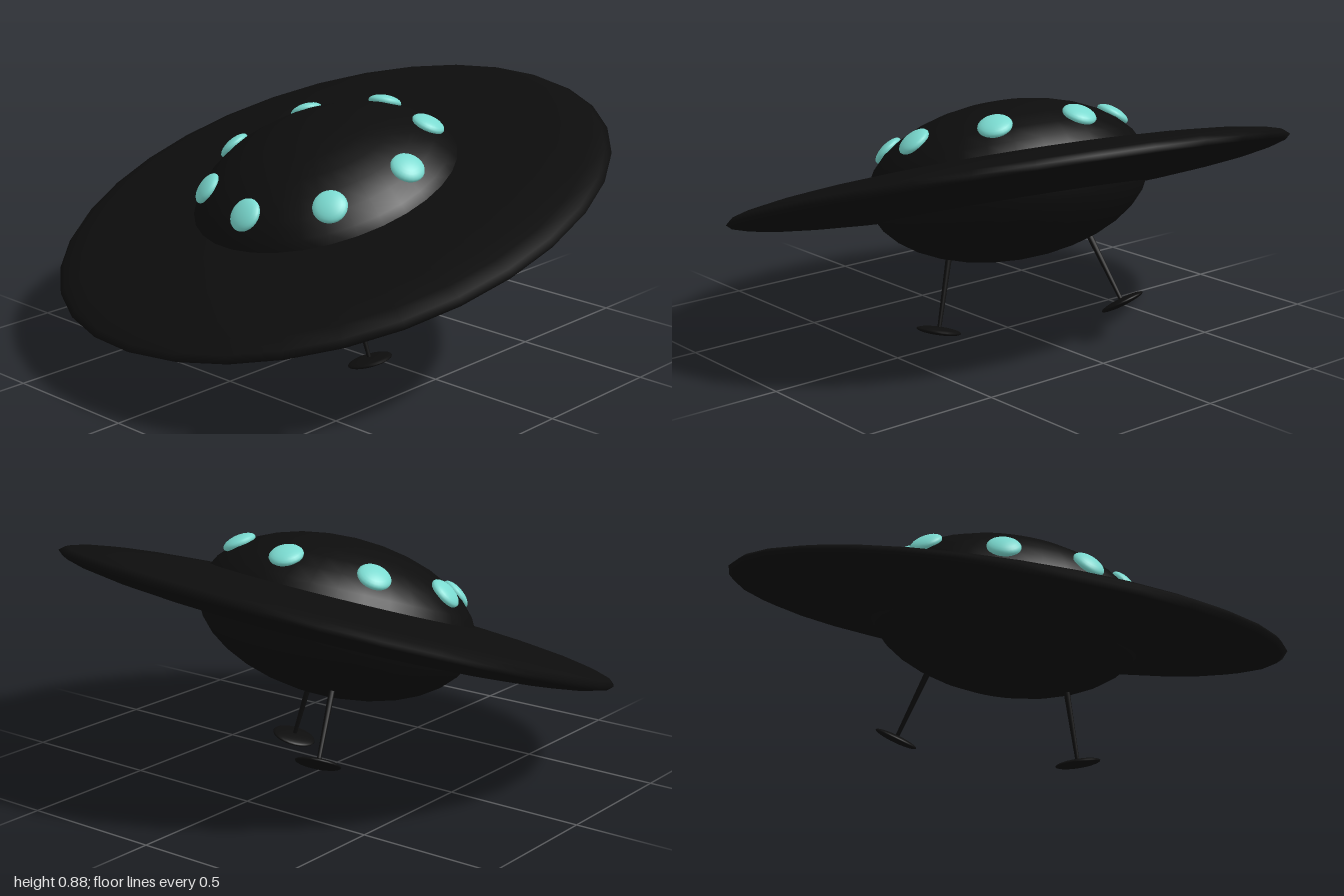
import * as THREE from 'three';

export function createModel() {
  const hull = new THREE.MeshStandardMaterial({ color: 0x0d0d0d });
  hull.name = 'black hull';
  const glass = new THREE.MeshStandardMaterial({ color: 0x7adad0 });
  glass.name = 'turquoise glass';

  const UP = new THREE.Vector3(0, 1, 0);
  const model = new THREE.Group();
  model.name = 'flyingSaucer';

  // The whole craft banks: nose down with a slight roll
  const craft = new THREE.Group();
  craft.name = 'craft';
  craft.position.y = 0.553;
  craft.rotation.set(THREE.MathUtils.degToRad(18.3), 0, THREE.MathUtils.degToRad(3.3));
  model.add(craft);

  // Ellipsoid whose short axis points along a direction
  function ellipsoid(name, material, radius, halfHeight, position, axis, segments = 32) {
    const geometry = new THREE.SphereGeometry(1, segments, segments / 2);
    geometry.scale(radius, halfHeight, radius);
    const mesh = new THREE.Mesh(geometry, material);
    mesh.name = name;
    mesh.position.copy(position);
    mesh.quaternion.setFromUnitVectors(UP, axis);
    craft.add(mesh);
  }

  // Wide thin disc and the rounder cabin through its middle
  const DOME_R = 0.5, DOME_H = 0.283;
  const centre = new THREE.Vector3();
  ellipsoid('disc', hull, 1, 0.088, centre, UP);
  ellipsoid('cabin', hull, DOME_R, DOME_H, centre, UP);

  // Ring of eight bulging portholes lying on the cabin surface
  const ringY = 0.17;
  const ringR = DOME_R * Math.sqrt(1 - (ringY / DOME_H) ** 2);
  for (let i = 0; i < 8; i++) {
    const a = THREE.MathUtils.degToRad(4 + i * 45);
    const position = new THREE.Vector3(Math.sin(a) * ringR, ringY, Math.cos(a) * ringR);
    const normal = new THREE.Vector3(
      position.x / DOME_R ** 2, ringY / DOME_H ** 2, position.z / DOME_R ** 2).normalize();
    ellipsoid('porthole' + (i + 1), glass, 0.06, 0.025, position.addScaledVector(normal, 0.003), normal, 24);
  }

  // Two splayed landing legs on opposite corners, each with a flat foot
  for (const [name, degrees] of [['frontLeft', 45], ['backRight', 226]]) {
    const a = THREE.MathUtils.degToRad(degrees);
    const at = (r, y) => new THREE.Vector3(Math.sin(a) * r, y, Math.cos(a) * r);
    const foot = at(0.329, -0.486), top = at(0.235, -0.18);
    const axis = top.clone().sub(foot);
    const leg = new THREE.Mesh(new THREE.CylinderGeometry(0.012, 0.007, axis.length(), 12), hull);
    leg.name = name + 'Leg';
    leg.position.addVectors(foot, top).multiplyScalar(0.5);
    leg.quaternion.setFromUnitVectors(UP, axis.normalize());
    craft.add(leg);
    ellipsoid(name + 'Foot', hull, 0.08, 0.014, foot, axis, 24);
  }

  return model;
}
